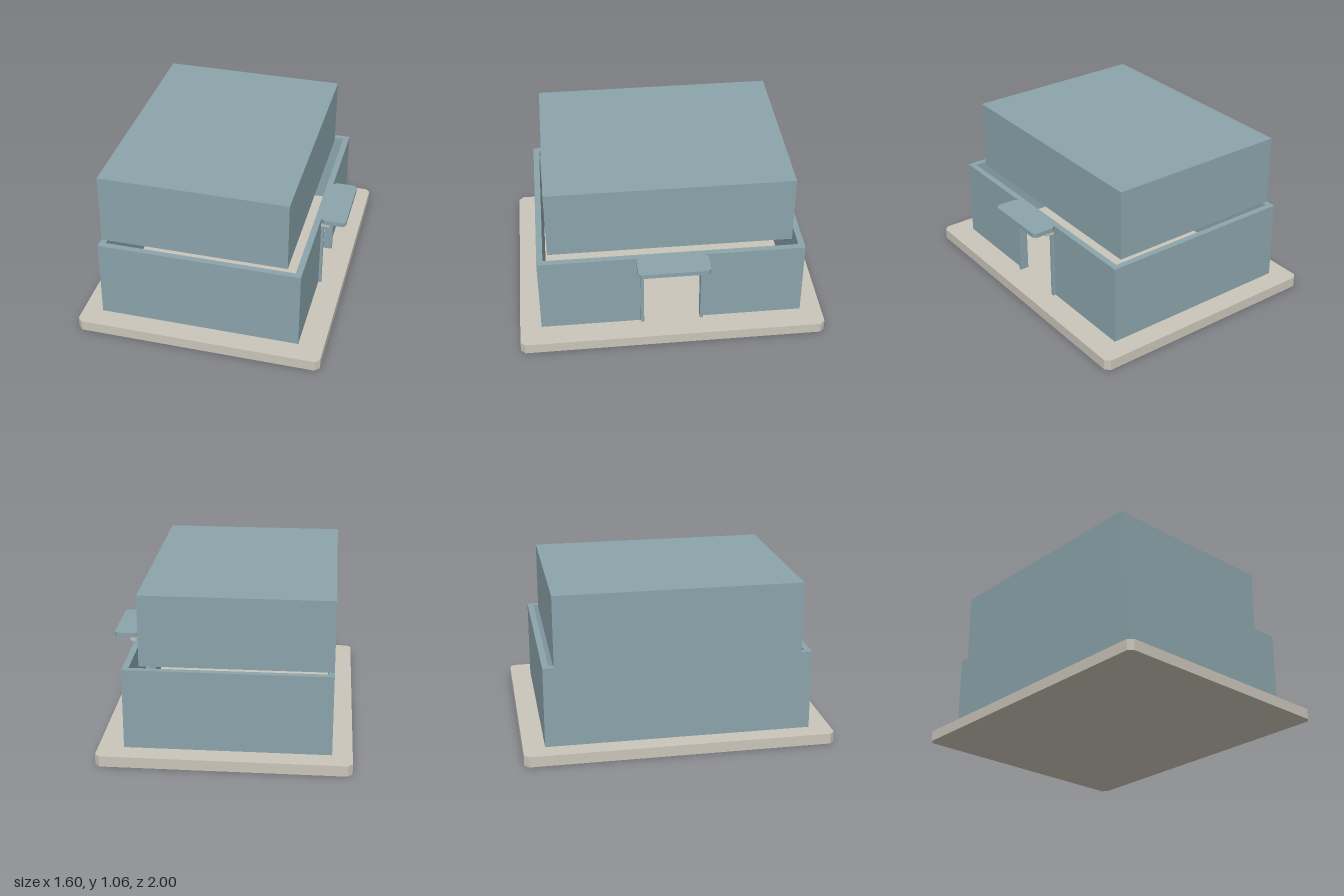
import * as THREE from 'three';

export function createModel() {
  const model = new THREE.Group();
  model.name = 'house';

  const blue = new THREE.MeshStandardMaterial({ name: 'blue grey wall', color: 0x8ba4ab });
  const stone = new THREE.MeshStandardMaterial({ name: 'pale stone', color: 0xcac5b9 });

  function add(name, geometry, material) {
    const mesh = new THREE.Mesh(geometry, material);
    mesh.name = name;
    model.add(mesh);
    return mesh;
  }

  // Box given by its lower and upper corners
  function block(name, [x0, y0, z0], [x1, y1, z1], material) {
    const mesh = add(name, new THREE.BoxGeometry(x1 - x0, y1 - y0, z1 - z0), material);
    mesh.position.set((x0 + x1) / 2, (y0 + y1) / 2, (z0 + z1) / 2);
  }

  // Upright prism from a floor plan of [x, z] points
  function prism(name, plan, y0, y1, material) {
    const shape = new THREE.Shape(plan.map(([x, z]) => new THREE.Vector2(x, -z)));
    const geometry = new THREE.ExtrudeGeometry(shape, { depth: y1 - y0, bevelEnabled: false });
    geometry.rotateX(-Math.PI / 2).translate(0, y0, 0);
    add(name, geometry, material);
  }

  // Rectangle plan with cut corners
  function cutRectangle(x0, x1, z, c) {
    return [
      [x0 + c, z], [x1 - c, z], [x1, z - c], [x1, c - z],
      [x1 - c, -z], [x0 + c, -z], [x0, c - z], [x0, z - c],
    ];
  }

  const floorY = 0.07, wallTop = 0.597, left = -0.672, right = 0.637, depth = 0.86, t = 0.04;
  const doorHalf = 0.185, doorTop = 0.533;

  // Base slab
  prism('baseSlab', cutRectangle(-0.8, 0.8, 1, 0.03), 0, floorY, stone);

  // Ground floor walls, one run around the room broken by the doorway
  prism('lowerWalls', [
    [right, doorHalf], [right, depth], [left, depth], [left, -depth],
    [right, -depth], [right, -doorHalf], [right - t, -doorHalf],
    [right - t, t - depth], [left + t, t - depth], [left + t, depth - t],
    [right - t, depth - t], [right - t, doorHalf],
  ], floorY, wallTop, blue);
  block('doorHeader', [right - t, doorTop, -doorHalf], [right, wallTop, doorHalf], blue);

  // Upper storey
  block('upperStorey', [left, wallTop, -0.79], [0.54, 1.06, 0.79], blue);

  // Door surround and canopy
  for (const side of [1, -1]) {
    const za = side * doorHalf, zb = side * 0.207;
    block(side > 0 ? 'frontDoorJamb' : 'backDoorJamb',
      [right, floorY, Math.min(za, zb)], [0.655, doorTop, Math.max(za, zb)], blue);
  }
  block('doorLintel', [right, doorTop, -0.207], [0.693, 0.567, 0.207], stone);
  prism('canopy', cutRectangle(right, 0.8, 0.23, 0.02), 0.567, wallTop, blue);

  return model;
}
